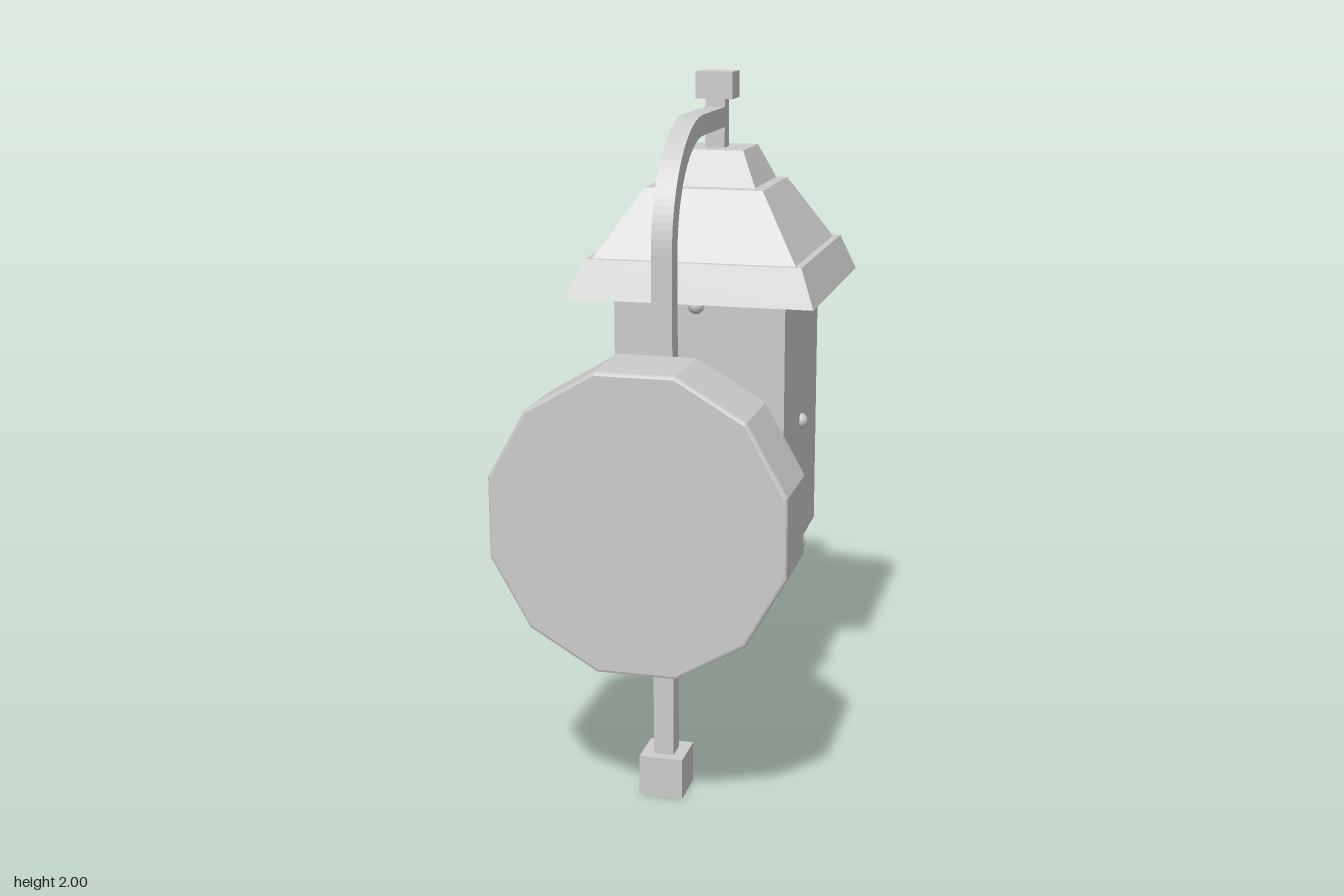
import * as THREE from 'three';

const material = new THREE.MeshStandardMaterial({ color: 0xcccccc });
const flat = new THREE.MeshStandardMaterial({ color: 0xcccccc, flatShading: true });

export function createModel() {
  const model = new THREE.Group();

  const add = (parent, name, geometry, mat = material) => {
    const mesh = new THREE.Mesh(geometry, mat);
    mesh.name = name;
    parent.add(mesh);
    return mesh;
  };
  const box = (parent, name, w, h, d, x, y, z) =>
    add(parent, name, new THREE.BoxGeometry(w, h, d).translate(x, y, z));

  // Twelve-sided wall plate with a slim bevel
  const rim = [];
  for (let i = 0; i < 12; i++) {
    const a = ((i + 0.5) * Math.PI) / 6;
    rim.push(new THREE.Vector2(0.417 * Math.cos(a), 0.425 * Math.sin(a)));
  }
  const plate = new THREE.ExtrudeGeometry(new THREE.Shape(rim), {
    depth: 0.22, bevelThickness: 0.009, bevelSize: 0.009, bevelOffset: -0.009, bevelSegments: 2,
  });
  add(model, 'wallPlate', plate.translate(0, 0.888, 0.418));

  // Studs and post connectors behind the plate
  for (const x of [-0.207, 0.19]) box(model, 'plateStud', 0.052, 0.056, 0.07, x, 0.893, 0.378);
  for (const y of [0.893, 0.695]) box(model, 'postConnector', 0.066, 0.07, 0.09, -0.007, y, 0.37);

  // Post that bends over into the arm, drawn in the z-y plane
  const arm = new THREE.Shape();
  arm.moveTo(0.345, 0.1);
  arm.lineTo(0.345, 1.553);
  arm.absarc(0, 1.553, 0.345, 0, Math.PI / 2, false);
  arm.lineTo(-0.3, 1.898);
  arm.lineTo(-0.3, 1.84);
  arm.lineTo(0, 1.84);
  arm.absarc(0, 1.553, 0.287, Math.PI / 2, 0, true);
  arm.lineTo(0.287, 0.1);
  const armGeometry = new THREE.ExtrudeGeometry(arm, {
    depth: 0.058, bevelEnabled: false, curveSegments: 12,
  });
  add(model, 'postAndArm', armGeometry.rotateY(-Math.PI / 2).translate(0.022, 0, 0));
  box(model, 'postFoot', 0.126, 0.118, 0.126, -0.008, 0.059, 0.312);
  box(model, 'hanger', 0.058, 0.17, 0.052, -0.007, 1.85, -0.282);
  box(model, 'topKnob', 0.11, 0.078, 0.092, -0.007, 1.961, -0.285);

  // Lantern
  const lantern = new THREE.Group();
  lantern.name = 'lantern';
  lantern.position.set(-0.007, 0, -0.288);
  model.add(lantern);

  // Stepped four-sided roof
  const profile = [
    [0, 1.372], [0.362, 1.372], [0.318, 1.482], [0.298, 1.482],
    [0.175, 1.675], [0.147, 1.678], [0.1, 1.78], [0, 1.78],
  ].map(([half, y]) => new THREE.Vector2(half * Math.SQRT2, y));
  add(lantern, 'roof', new THREE.LatheGeometry(profile, 4, Math.PI / 4), flat);

  // Body, set slightly off the bars
  box(lantern, 'body', 0.508, 0.81, 0.508, 0.008, 0.982, 0.005);

  // Bars and rivets on each side
  for (let i = 0; i < 4; i++) {
    const side = new THREE.Group();
    side.name = 'sideTrim';
    side.rotation.y = (i * Math.PI) / 2;
    lantern.add(side);
    const reach = i === 2 ? 0.262 : i === 3 ? 0.251 : 0.243;
    box(side, 'verticalBar', 0.032, 0.8, 0.03, 0, 0.97, reach - 0.015);
    for (const y of [1.35, 0.96]) box(side, 'crossBar', 0.33, 0.032, 0.03, 0, y, reach - 0.017);
    for (const y of [1.35, 0.96, 0.573])
      add(side, 'rivet', new THREE.SphereGeometry(0.024, 12, 8).translate(0, y, 0.26));
  }

  // Bottom rim with clipped corners and a soft square opening
  const h = 0.256, c = 0.185;
  const ring = new THREE.Shape([
    [h, -c], [h, c], [c, h], [-c, h], [-h, c], [-h, -c], [-c, -h], [c, -h],
  ].map(([x, y]) => new THREE.Vector2(x, y)));
  const o = 0.165, r = 0.05;
  const hole = new THREE.Path();
  hole.moveTo(-o + r, -o);
  [[1, -1], [1, 1], [-1, 1], [-1, -1]].forEach(([x, y], i) => {
    const start = ((i - 1) * Math.PI) / 2;
    hole.absarc(x * (o - r), y * (o - r), r, start, start + Math.PI / 2, false);
  });
  ring.holes.push(hole);
  const ringGeometry = new THREE.ExtrudeGeometry(ring, {
    depth: 0.016, bevelThickness: 0.015, bevelSize: 0.015, bevelOffset: -0.015,
    bevelSegments: 3, curveSegments: 4,
  });
  add(lantern, 'bottomRim', ringGeometry.rotateX(-Math.PI / 2).translate(0, 0.567, 0));

  return model;
}
